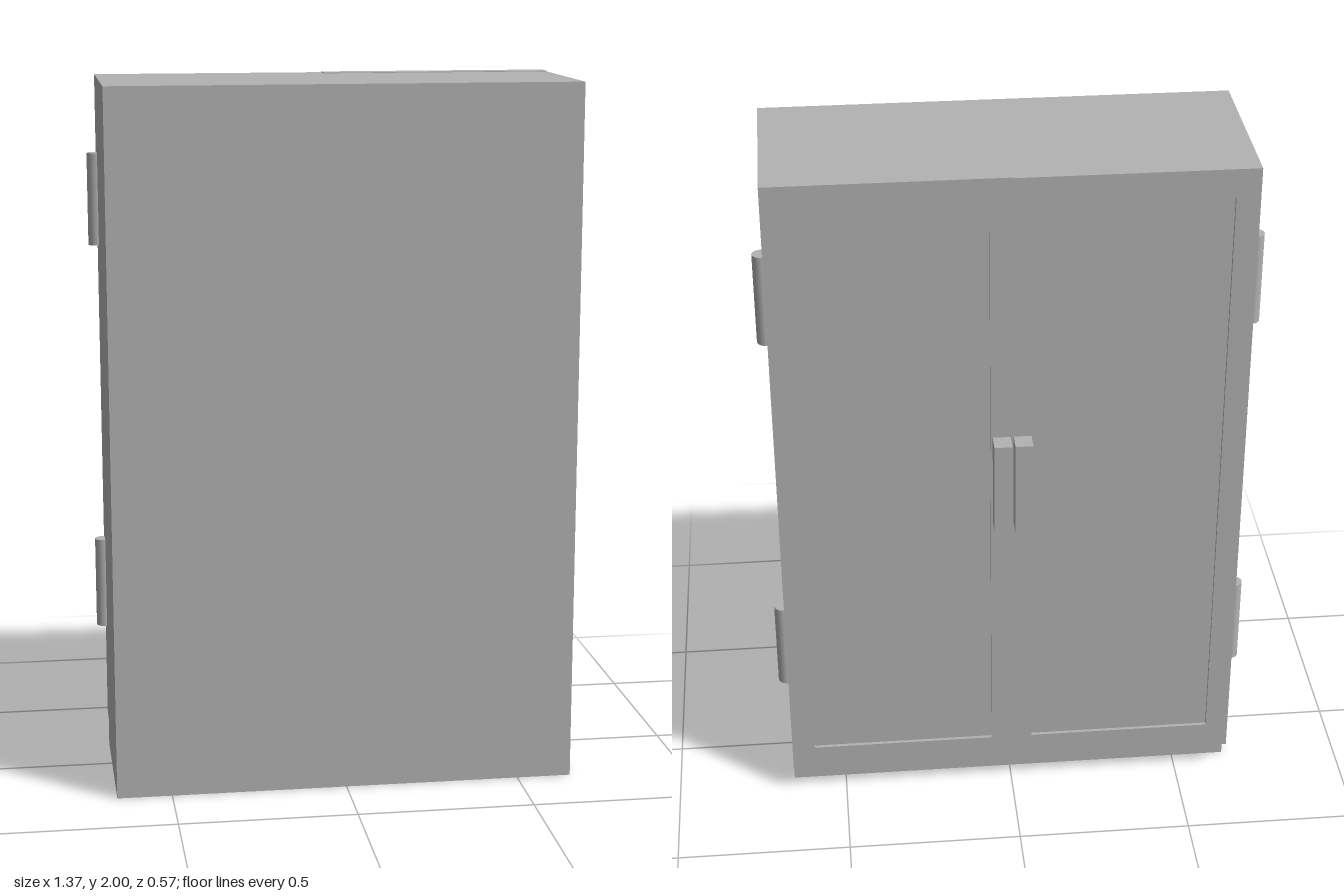
import * as THREE from 'three';

export function createModel() {
  const cabinet = new THREE.Group();
  cabinet.name = 'cabinet';
  const grey = new THREE.MeshStandardMaterial({ color: 0xb2b2b2 });
  grey.name = 'grey';

  function add(parent, name, geometry, x, y, z) {
    const mesh = new THREE.Mesh(geometry, grey);
    mesh.name = name;
    mesh.position.set(x, y, z);
    parent.add(mesh);
    return mesh;
  }

  // Box given by its lower and upper corners
  function addBox(parent, name, [x0, y0, z0], [x1, y1, z1]) {
    return add(parent, name, new THREE.BoxGeometry(x1 - x0, y1 - y0, z1 - z0),
      (x0 + x1) / 2, (y0 + y1) / 2, (z0 + z1) / 2);
  }

  function rectangle(path, x0, y0, x1, y1) {
    path.moveTo(x0, y0);
    path.lineTo(x1, y0);
    path.lineTo(x1, y1);
    path.lineTo(x0, y1);
    path.closePath();
    return path;
  }

  // Main case, with its foot set back behind the doors
  addBox(cabinet, 'body', [-0.656, 0, -0.17], [0.656, 1.998, 0.285]);

  for (const side of [1, -1]) {
    const label = side > 0 ? 'left' : 'right';
    const span = (a, b) => (side > 0 ? [a, b] : [-b, -a]);
    const door = new THREE.Group();
    door.name = label + 'Door';
    cabinet.add(door);

    // Raised door frame around a shallow recessed panel
    const top = side > 0 ? 2 : 1.998;
    const [x0, x1] = span(0, 0.656);
    const [p0, p1] = span(0.06, 0.59);
    const outline = rectangle(new THREE.Shape(), x0, 0.08, x1, top);
    outline.holes.push(rectangle(new THREE.Path(), p0, 0.16, p1, 1.92));
    add(door, 'doorFrame',
      new THREE.ExtrudeGeometry(outline, { depth: 0.06, bevelEnabled: false }), 0, 0, -0.23);
    addBox(door, 'doorPanel', [p0, 0.16, -0.22], [p1, 1.92, -0.17]);

    // Block handle beside the centre seam
    const [h0, h1] = span(0.004, 0.054);
    addBox(door, 'handle', [h0, 0.935, -0.285], [h1, 1.215, -0.23]);

    // Hinge barrels on the outer edge
    for (const y of [0.51, 1.648]) {
      add(door, 'hinge', new THREE.CylinderGeometry(0.025, 0.025, 0.264, 16), side * 0.66, y, -0.168);
    }
  }
  return cabinet;
}
